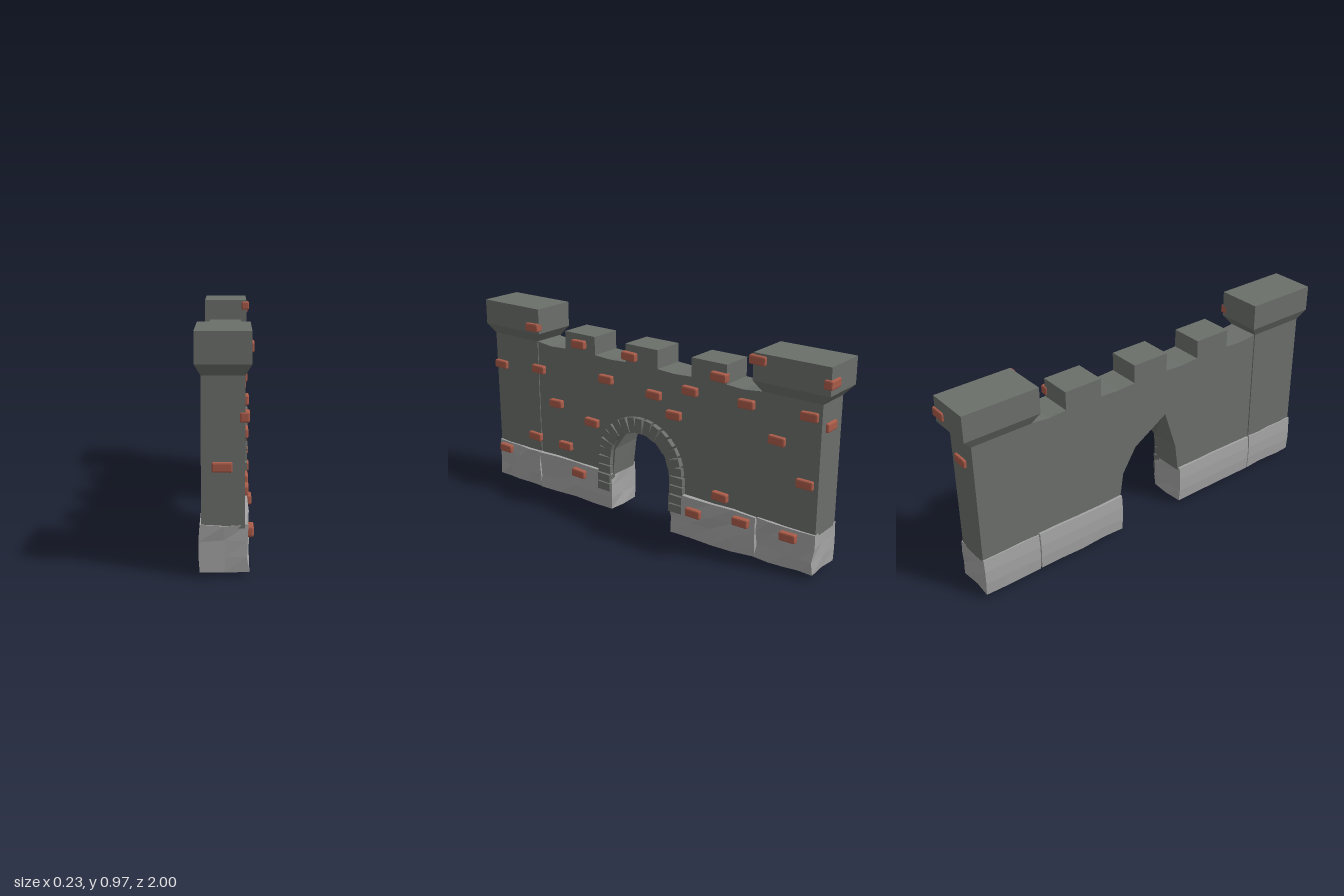
import * as THREE from 'three';
import { RoundedBoxGeometry } from 'three/addons/geometries/RoundedBoxGeometry.js';

export function createModel() {
  const model = new THREE.Group();
  const makeMat = (name, color) => {
    const m = new THREE.MeshStandardMaterial({ color, flatShading: true });
    m.name = name;
    return m;
  };
  const stone = makeMat('dark stone', 0x6b6f6a);
  const plinth = makeMat('light stone', 0xa4a4a4);
  const clay = makeMat('red brick', 0xa95b49);

  const add = (name, geometry, material, parent = model) => {
    const mesh = new THREE.Mesh(geometry, material);
    mesh.name = name;
    parent.add(mesh);
    return mesh;
  };
  // Box given by its limits
  const block = (x0, x1, y0, y1, z0, z1, sx = 1, sy = 1, sz = 1) =>
    new THREE.BoxGeometry(x1 - x0, y1 - y0, z1 - z0, sx, sy, sz)
      .translate((x0 + x1) / 2, (y0 + y1) / 2, (z0 + z1) / 2);
  // Move every vertex by a rule
  const warp = (geometry, rule) => {
    const p = geometry.attributes.position;
    const v = new THREE.Vector3();
    for (let i = 0; i < p.count; i++) {
      v.fromBufferAttribute(p, i);
      rule(v);
      p.setXYZ(i, v.x, v.y, v.z);
    }
    geometry.computeVertexNormals();
    return geometry;
  };

  // Curtain wall: outline along z with merlons and an arched gateway
  const archFront = [[-0.18, 0.2], [-0.165, 0.34], [-0.1, 0.435], [0, 0.47], [0.1, 0.435], [0.17, 0.34], [0.185, 0.2]];
  const archBack = [[-0.18, 0.2], [-0.16, 0.33], [-0.085, 0.45], [0, 0.52], [0.09, 0.58], [0.165, 0.35], [0.185, 0.2]];
  const outline = [...archFront, [0.667, 0.2], [0.667, 0.8]];
  for (const c of [0.385, 0.005, -0.375]) {
    outline.push([c + 0.19, 0.79], [c + 0.095, 0.795], [c + 0.095, 0.885], [c - 0.095, 0.885], [c - 0.095, 0.795]);
  }
  outline.push([-0.56, 0.79], [-0.655, 0.8], [-0.655, 0.2]);
  const wall = new THREE.ExtrudeGeometry(
    new THREE.Shape(outline.map(([z, y]) => new THREE.Vector2(z, y))),
    { depth: 0.16, bevelEnabled: false });
  // The gateway rises to a peak at the back
  warp(wall, (v) => {
    if (v.z < 0.1) return;
    const i = archFront.findIndex(([z, y]) => Math.hypot(z - v.x, y - v.y) < 1e-4);
    if (i >= 0) [v.x, v.y] = archBack[i];
  });
  wall.rotateY(-Math.PI / 2).translate(0.07, 0, 0);
  add('curtainWall', wall, stone);

  // End towers with a flared cap
  const towers = [
    { name: 'front', z0: 0.667, z1: 0.962, c0: 0.63, c1: 1.0 },
    { name: 'rear', z0: -0.947, z1: -0.655, c0: -0.99, c1: -0.62 },
  ];
  for (const t of towers) {
    const g = new THREE.Group();
    g.name = t.name + 'Tower';
    model.add(g);
    add('towerShaft', block(-0.096, 0.075, 0.2, 0.81, t.z0, t.z1), stone, g);
    add('towerCap', block(-0.12, 0.1, 0.85, 0.975, t.c0, t.c1), stone, g);
    const mid = (t.c0 + t.c1) / 2;
    add('towerCorbel', warp(block(-0.12, 0.1, 0.802, 0.85, t.c0, t.c1), (v) => {
      if (v.y > 0.83) return;
      v.x = v.x < 0 ? -0.096 : 0.075;
      v.z = v.z < mid ? t.z0 : t.z1;
    }), stone, g);
  }

  // Rough plinth blocks
  const noise = (a, b, c) => {
    const s = Math.sin(a * 127.1 + b * 311.7 + c * 74.7) * 43758.5453;
    return s - Math.floor(s) - 0.5;
  };
  const spans = [[0.667, 0.965], [0.187, 0.662], [-0.65, -0.178], [-0.948, -0.656]];
  spans.forEach(([z0, z1], k) => {
    const geo = block(-0.102, 0.088, 0.02, 0.213, z0, z1, 2, 3, 4);
    add('plinth', warp(geo, (v) => {
      const a = Math.round(v.x * 100), b = Math.round(v.y * 100), c = Math.round(v.z * 100);
      const low = b < 5;
      if (v.x > -0.05) {
        v.x += noise(a, b, c) * 0.012;
        v.z += noise(b, c, a) * 0.012;
      } else if (b > 5 && b < 18) v.x -= 0.005;
      v.y += noise(c, a, b) * 0.008;
      // Sagging underside beside the gateway
      if (low && k === 2) v.y -= 0.018 * Math.max(0, 1 - Math.abs(v.z + 0.33) / 0.3) * (a > -5 ? 1 : 0);
      v.y = Math.max(0, v.y);
    }), plinth);
  });

  // Gateway surround of separate stones
  const surround = new THREE.Group();
  surround.name = 'archSurround';
  model.add(surround);
  const archStone = (z, y, angle, x, length) => {
    const s = add('archStone', new THREE.BoxGeometry(0.04, 0.04, length), stone, surround);
    s.position.set(x, y, z);
    s.rotation.x = angle;
  };
  const cz = 0.005, cy = 0.3, radius = 0.202;
  const count = 15;
  for (let i = 0; i < count; i++) {
    const a = Math.PI * (i + 0.5) / count;
    archStone(cz + Math.cos(a) * (radius + 0.012), cy + Math.sin(a) * radius, -a, 0.072 + 0.004 * (i % 2), 0.074);
  }
  for (const side of [-1, 1]) {
    for (let i = 0; i < 4; i++) {
      archStone(cz + side * 0.219, 0.138 + i * 0.046, 0.06 * noise(i, side, 3), i < 2 ? 0.078 : 0.073, 0.076);
    }
  }

  // Scattered bricks on the long face: z, y
  const bricks = [
    [0.67, 0.88], [0.925, 0.64], [0.66, 0.66], [0.545, 0.5], [0.7, 0.29], [0.49, 0.285], [0.905, 0.18],
    [0.39, 0.165], [0.385, 0.835], [0.07, 0.83], [0.215, 0.69], [0.31, 0.45], [-0.075, 0.67], [-0.19, 0.595],
    [-0.28, 0.73], [-0.435, 0.825], [-0.58, 0.73], [-0.645, 0.945], [-0.89, 0.74], [-0.74, 0.6],
    [-0.885, 0.435], [-0.455, 0.26], [-0.32, 0.145], [-0.58, 0.175], [-0.825, 0.175],
  ];
  const brickShape = new RoundedBoxGeometry(0.04, 0.042, 0.082, 1, 0.007);
  const brickGroup = new THREE.Group();
  brickGroup.name = 'bricks';
  model.add(brickGroup);
  bricks.forEach(([z, y], i) => {
    const onCap = y > 0.85, onPlinth = y < 0.2;
    const b = add('brick', brickShape, clay, brickGroup);
    b.position.set(onCap ? 0.095 : onPlinth ? 0.09 : 0.073, y, z);
    b.rotation.x = 0.08 * noise(i, 2, 5);
  });
  // Bricks on the tower ends: x, y, z
  for (const [x, y, z] of [[-0.014, 0.445, 0.95], [0.0, 0.69, -0.94], [0.07, 0.9, -0.98]]) {
    const b = add('endBrick', brickShape, clay, brickGroup);
    b.position.set(x, y, z);
    b.rotation.y = Math.PI / 2;
  }
  return model;
}
